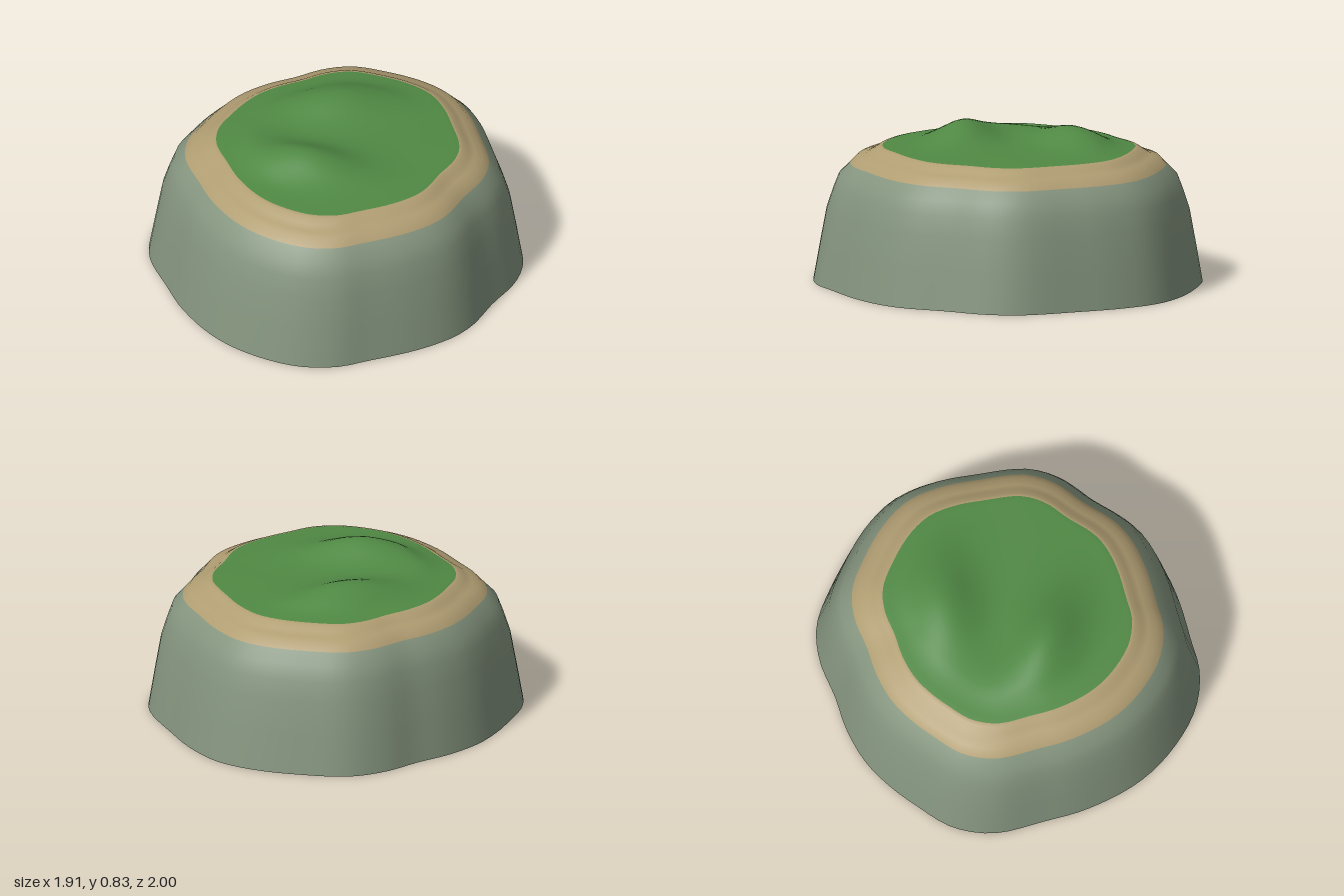
import * as THREE from 'three';

const SEG = 96;

// Wavy footprint of the hill at ground level, as [x, z]
const footprint = [
  [-0.04, -1.0], [0.19, -0.945], [0.39, -0.85], [0.67, -0.69], [0.79, -0.53], [0.86, -0.31],
  [0.94, -0.1], [0.957, 0.05], [0.92, 0.27], [0.825, 0.53], [0.76, 0.69], [0.61, 0.85],
  [0.35, 0.965], [0.11, 0.997], [-0.18, 0.955], [-0.39, 0.88], [-0.655, 0.77], [-0.81, 0.61],
  [-0.89, 0.4], [-0.935, 0.24], [-0.958, 0.05], [-0.93, -0.16], [-0.87, -0.34],
  [-0.815, -0.55], [-0.71, -0.72], [-0.5, -0.86], [-0.26, -0.966],
];

// Rings from the ground up, as [scale of footprint, height]
const wall = [[1, 0], [0.966, 0.2], [0.932, 0.39], [0.9, 0.49], [0.87, 0.57], [0.812, 0.63]];
const ledge = [[0.775, 0.67], [0.735, 0.678], [0.7, 0.7], [0.67, 0.72], [0.65, 0.725]];
const TOP_RINGS = 20;

// Rounded ridge centred on (cx, cz), long along the given angle
function ridge(x, z, cx, cz, angle, length, width, height) {
  const c = Math.cos(angle), s = Math.sin(angle);
  const along = ((x - cx) * c + (z - cz) * s) / length;
  const across = ((z - cz) * c - (x - cx) * s) / width;
  return height * Math.exp(-along * along - across * across);
}

// Grass height: two diagonal mounds with a valley between, fading to the rim
function grassHeight(x, z, t) {
  const fade = Math.min(1, (1 - t * t) * 2.2);
  const bumps = ridge(x, z, 0.04, 0.3, -0.6, 0.28, 0.16, 0.1)
    + ridge(x, z, -0.27, -0.19, -1.05, 0.3, 0.17, 0.085)
    + ridge(x, z, -0.3, 0.32, 0, 0.18, 0.16, 0.02);
  return 0.725 + fade * bumps + 0.01 * (1 - t * t);
}

export function createModel() {
  const group = new THREE.Group();
  const curve = new THREE.CatmullRomCurve3(
    footprint.map(([x, z]) => new THREE.Vector3(x, 0, z)), true);
  const outline = curve.getSpacedPoints(SEG).slice(0, SEG);

  // Rings of the whole shell, closed by one centre vertex
  const positions = [];
  for (const [scale, y] of [...wall, ...ledge]) {
    for (const p of outline) positions.push(p.x * scale, y, p.z * scale);
  }
  for (let i = 1; i < TOP_RINGS; i++) {
    const t = 1 - i / TOP_RINGS;
    for (const p of outline) {
      const x = p.x * 0.65 * t, z = p.z * 0.65 * t;
      positions.push(x, grassHeight(x, z, t), z);
    }
  }
  positions.push(0, grassHeight(0, 0, 0), 0);

  // Faces between consecutive rings, outward side in front
  function band(from, to) {
    const index = [];
    for (let r = from; r < to; r++) {
      for (let i = 0; i < SEG; i++) {
        const j = (i + 1) % SEG;
        const a = r * SEG + i, b = r * SEG + j, c = a + SEG, d = b + SEG;
        index.push(a, c, b, b, c, d);
      }
    }
    return index;
  }
  const wallEnd = wall.length - 1;
  const ledgeEnd = wallEnd + ledge.length;
  const last = ledgeEnd + TOP_RINGS - 1;
  const wallIndex = band(0, wallEnd);
  const ledgeIndex = band(wallEnd, ledgeEnd);
  const grassIndex = band(ledgeEnd, last);
  const centre = positions.length / 3 - 1;
  for (let i = 0; i < SEG; i++) {
    grassIndex.push(last * SEG + i, centre, last * SEG + (i + 1) % SEG);
  }

  // Smooth normals over the full shell, shared by the three coloured parts
  const shell = new THREE.BufferGeometry();
  shell.setAttribute('position', new THREE.Float32BufferAttribute(positions, 3));
  shell.setIndex([...wallIndex, ...ledgeIndex, ...grassIndex]);
  shell.computeVertexNormals();

  function addPart(name, index, materialName, color) {
    const geometry = new THREE.BufferGeometry();
    geometry.setAttribute('position', shell.getAttribute('position'));
    geometry.setAttribute('normal', shell.getAttribute('normal'));
    geometry.setIndex(index);
    const material = new THREE.MeshStandardMaterial({ color, side: THREE.DoubleSide });
    material.name = materialName;
    const mesh = new THREE.Mesh(geometry, material);
    mesh.name = name;
    group.add(mesh);
  }
  addPart('rockWall', wallIndex, 'greyRock', 0x85957f);
  addPart('sandLedge', ledgeIndex, 'tanSand', 0xb09d72);
  addPart('grassTop', grassIndex, 'grassGreen', 0x508944);

  group.name = 'hill';
  return group;
}
